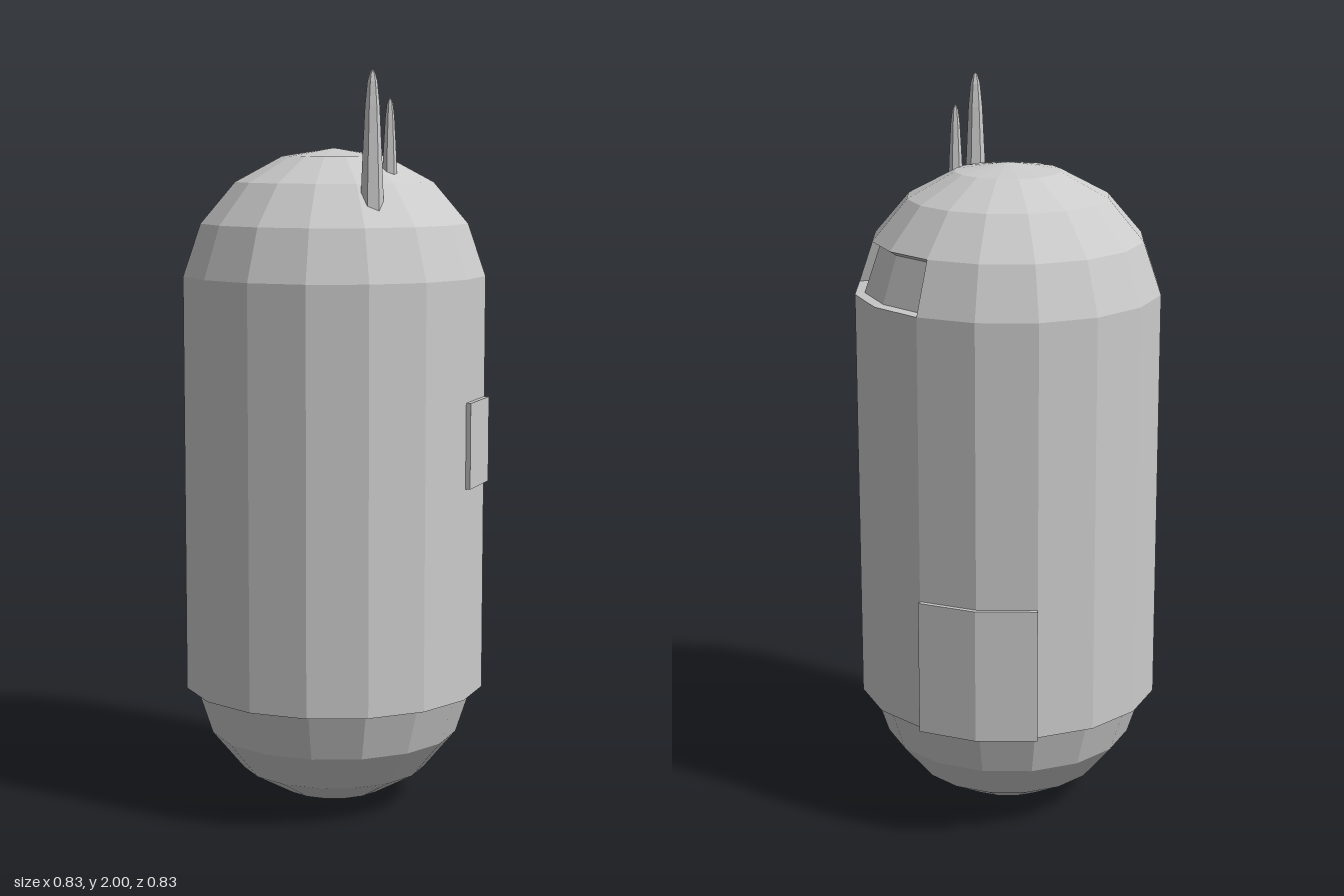
import * as THREE from 'three';

const SIDES = 16;
const STEP = (Math.PI * 2) / SIDES;
const R = 0.413;

const mat = new THREE.MeshStandardMaterial({ color: 0xcccccc, flatShading: true });
const thinMat = new THREE.MeshStandardMaterial({ color: 0xcccccc, flatShading: true, side: THREE.DoubleSide });

const toPoints = (list) => list.map(([x, y]) => new THREE.Vector2(x, y));

function addMesh(parent, name, geometry, material = mat) {
  const mesh = new THREE.Mesh(geometry, material);
  mesh.name = name;
  parent.add(mesh);
  return mesh;
}

// Faceted surface of revolution covering `count` facets from facet `first` (0 starts at +z, turning to +x)
const turned = (profile, first = 0, count = SIDES) =>
  new THREE.LatheGeometry(toPoints(profile), count, first * STEP, count * STEP);

// Thin plate lying on `count` neighbouring facets of the hull
function plate(first, count, y0, y1, thickness) {
  const inner = [], outer = [];
  for (let i = 0; i <= count; i++) {
    const a = (first + i) * STEP;
    // end corners move straight off their facet, middle ones move along the radius
    const n = i === 0 ? a + STEP / 2 : i === count ? a - STEP / 2 : a;
    const x = R * Math.sin(a), z = R * Math.cos(a);
    inner.push([x * 0.98, -z * 0.98]);
    outer.unshift([x + thickness * Math.sin(n), -z - thickness * Math.cos(n)]);
  }
  const shape = new THREE.Shape(toPoints([...inner, ...outer]));
  return new THREE.ExtrudeGeometry(shape, { depth: y1 - y0, bevelEnabled: false })
    .rotateX(-Math.PI / 2).translate(0, y0, 0);
}

// Six-sided tapering spike with a rounded tip
function antenna(parent, name, x, z, y0, y1, r) {
  const profile = [[0, 0], [1, 0.02], [0.82, 0.4], [0.62, 0.75], [0.42, 0.92], [0.2, 0.985], [0, 1]]
    .map(([px, py]) => [px * r, py * (y1 - y0)]);
  addMesh(parent, name, new THREE.LatheGeometry(toPoints(profile), 6)).position.set(x, y0, z);
}

export function createModel() {
  const model = new THREE.Group();
  model.name = 'capsule';

  // Hull and rounded ends
  addMesh(model, 'lowerDome', turned([[0, 0], [0.139, 0.03], [0.255, 0.095], [0.342, 0.2], [0.385, 0.33]]));
  addMesh(model, 'hull', turned([[0.385, 0.33], [R, 0.33], [R, 1.46]]));
  addMesh(model, 'upperDome', turned([[0.365, 1.6], [0.271, 1.71], [0.143, 1.778], [0, 1.8]]));

  // Lowest band of the upper dome, left open over three facets for the window
  const winStart = 2, winCount = 3;
  addMesh(model, 'domeBand', turned([[R, 1.46], [0.365, 1.6]], winStart + winCount, SIDES - winCount));

  // Recessed window: sill, pane, lintel and two side jambs
  const recess = [[R, 1.46], [0.387, 1.464], [0.345, 1.588], [0.365, 1.6]];
  const windowGroup = new THREE.Group();
  windowGroup.name = 'window';
  model.add(windowGroup);
  addMesh(windowGroup, 'windowRecess', turned(recess, winStart, winCount));
  for (const facet of [winStart, winStart + winCount]) {
    const jamb = new THREE.ShapeGeometry(new THREE.Shape(toPoints(recess)));
    addMesh(windowGroup, 'windowJamb', jamb.rotateY(facet * STEP - Math.PI / 2), thinMat);
  }

  // Raised plates on the hull
  addMesh(model, 'frontPlate', plate(1, 1, 0.905, 1.135, 0.013));
  addMesh(model, 'rearPlate', plate(5, 2, 0.325, 0.692, 0.013));

  // Antennas on the front of the dome
  antenna(model, 'tallAntenna', -0.078, 0.283, 1.63, 2.0, 0.031);
  antenna(model, 'shortAntenna', 0.037, 0.203, 1.725, 1.93, 0.02);

  return model;
}
